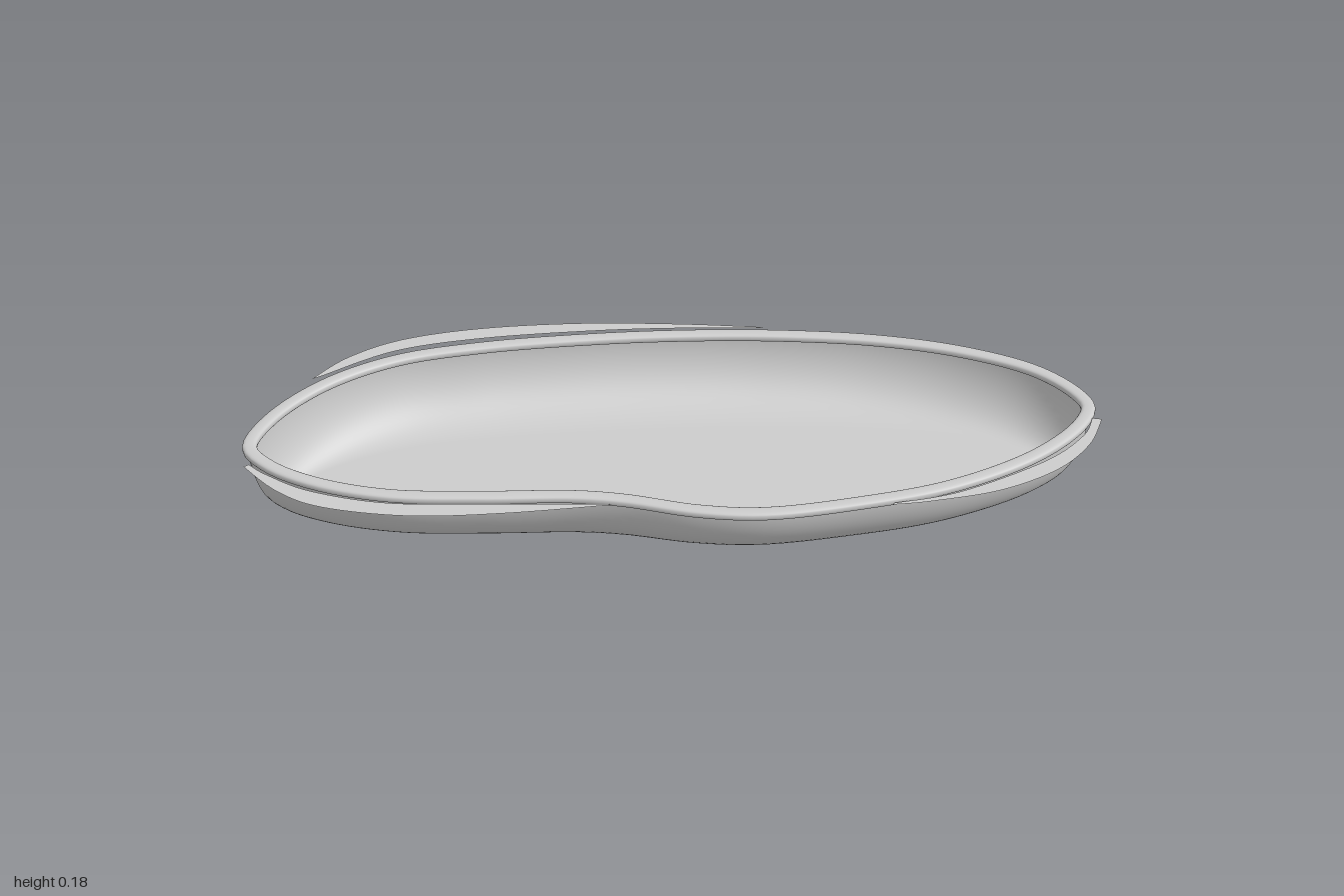
import * as THREE from 'three';

const V = (p) => new THREE.Vector3(p[0], 0, p[1]);

// Outer outline of the rim, as x, z
const OUTLINE = [
  [-0.997, 0.07], [-0.955, -0.05], [-0.83, -0.19], [-0.66, -0.285], [-0.45, -0.33],
  [-0.18, -0.353], [0.03, -0.357], [0.25, -0.347], [0.51, -0.312], [0.72, -0.25],
  [0.885, -0.16], [0.97, -0.06], [0.992, 0.01], [0.955, 0.09], [0.83, 0.205],
  [0.62, 0.31], [0.4, 0.363], [0.18, 0.39], [0.03, 0.372], [-0.13, 0.325],
  [-0.24, 0.306], [-0.45, 0.298], [-0.66, 0.28], [-0.83, 0.225], [-0.945, 0.15],
];
const SEGMENTS = 160;
const CENTRE_Z = 0.02;

// Evenly spaced outline points with their outward directions
function sampleOutline() {
  const curve = new THREE.CatmullRomCurve3(OUTLINE.map(V), true);
  return Array.from({ length: SEGMENTS }, (_, i) => {
    const p = curve.getPointAt(i / SEGMENTS);
    const t = curve.getTangentAt(i / SEGMENTS);
    return { x: p.x, z: p.z, nx: t.z, nz: -t.x };
  });
}

// Joins closed rings of points into a smooth skin
function loft(rings, closed) {
  const n = rings[0].length;
  const index = [];
  const last = closed ? rings.length : rings.length - 1;
  for (let r = 0; r < last; r++) {
    const s = (r + 1) % rings.length;
    for (let i = 0; i < n; i++) {
      const j = (i + 1) % n;
      const a = r * n + i, b = r * n + j, c = s * n + i, d = s * n + j;
      index.push(a, b, c, b, d, c);
    }
  }
  const geometry = new THREE.BufferGeometry();
  geometry.setAttribute('position', new THREE.Float32BufferAttribute(rings.flat(2), 3));
  geometry.setIndex(index);
  geometry.computeVertexNormals();
  return geometry;
}

// Curved wall running down into the flat floor
function basinGeometry(outline) {
  const ring = (sx, sz, y) => outline.map((p) => [
    (p.x - p.nx * 0.013) * sx,
    y,
    CENTRE_Z + (p.z - p.nz * 0.013 - CENTRE_Z) * sz,
  ]);
  const rings = [];
  const steps = 16;
  for (let k = 0; k <= steps; k++) {
    const a = (k / steps) * Math.PI / 2;
    const inset = 1 - Math.cos(a);
    rings.push(ring(1 - 0.065 * inset, 1 - 0.43 * inset, 0.165 * (1 - Math.sin(a))));
  }
  rings.push(ring(0.9, 0.54, 0), ring(0, 0, 0));
  return loft(rings, false);
}

// Rounded lip swept along the outline
function rimGeometry(outline) {
  const rings = [];
  const steps = 20;
  const soft = (v) => Math.sign(v) * Math.pow(Math.abs(v), 0.7);
  for (let k = 0; k < steps; k++) {
    const a = (k / steps) * Math.PI * 2;
    const out = -0.017 + 0.017 * soft(Math.cos(a));
    const y = 0.1675 - 0.0105 * soft(Math.sin(a));
    rings.push(outline.map((p) => [p.x + p.nx * out, y, p.z + p.nz * out]));
  }
  return loft(rings, true);
}

// Flat crescent bounded by an outer and an inner curve
function crescentGeometry(outer, inner) {
  const side = (pts) => new THREE.SplineCurve(pts.map(([x, z]) => new THREE.Vector2(x, -z))).getPoints(40);
  const shape = new THREE.Shape([...side(outer), ...side(inner)]);
  return new THREE.ShapeGeometry(shape).rotateX(-Math.PI / 2).translate(0, 0.174, 0);
}

const CRESCENTS = {
  backCrescent: [
    [[-0.853, -0.192], [-0.77, -0.28], [-0.64, -0.35], [-0.45, -0.388], [-0.21, -0.398], [0.03, -0.383], [0.24, -0.358]],
    [[0.23, -0.355], [0.03, -0.364], [-0.18, -0.363], [-0.45, -0.344], [-0.66, -0.3], [-0.828, -0.205]],
  ],
  frontRightCrescent: [
    [[-0.987, 0.147], [-0.905, 0.243], [-0.8, 0.307], [-0.61, 0.348], [-0.4, 0.35], [-0.155, 0.332]],
    [[-0.16, 0.328], [-0.45, 0.313], [-0.66, 0.298], [-0.83, 0.246], [-0.93, 0.182], [-0.975, 0.14]],
  ],
  frontLeftCrescent: [
    [[0.997, 0.065], [0.95, 0.163], [0.86, 0.254], [0.72, 0.323], [0.56, 0.355], [0.47, 0.363]],
    [[0.475, 0.357], [0.63, 0.323], [0.835, 0.222], [0.94, 0.13], [0.975, 0.06]],
  ],
};

export function createModel() {
  const group = new THREE.Group();
  const grey = new THREE.MeshStandardMaterial({ color: 0xcccccc, side: THREE.DoubleSide });
  grey.name = 'light grey';

  const add = (name, geometry) => {
    const mesh = new THREE.Mesh(geometry, grey);
    mesh.name = name;
    group.add(mesh);
  };

  const outline = sampleOutline();
  add('basin', basinGeometry(outline));
  add('rim', rimGeometry(outline));
  for (const [name, [outer, inner]] of Object.entries(CRESCENTS)) {
    add(name, crescentGeometry(outer, inner));
  }
  return group;
}
